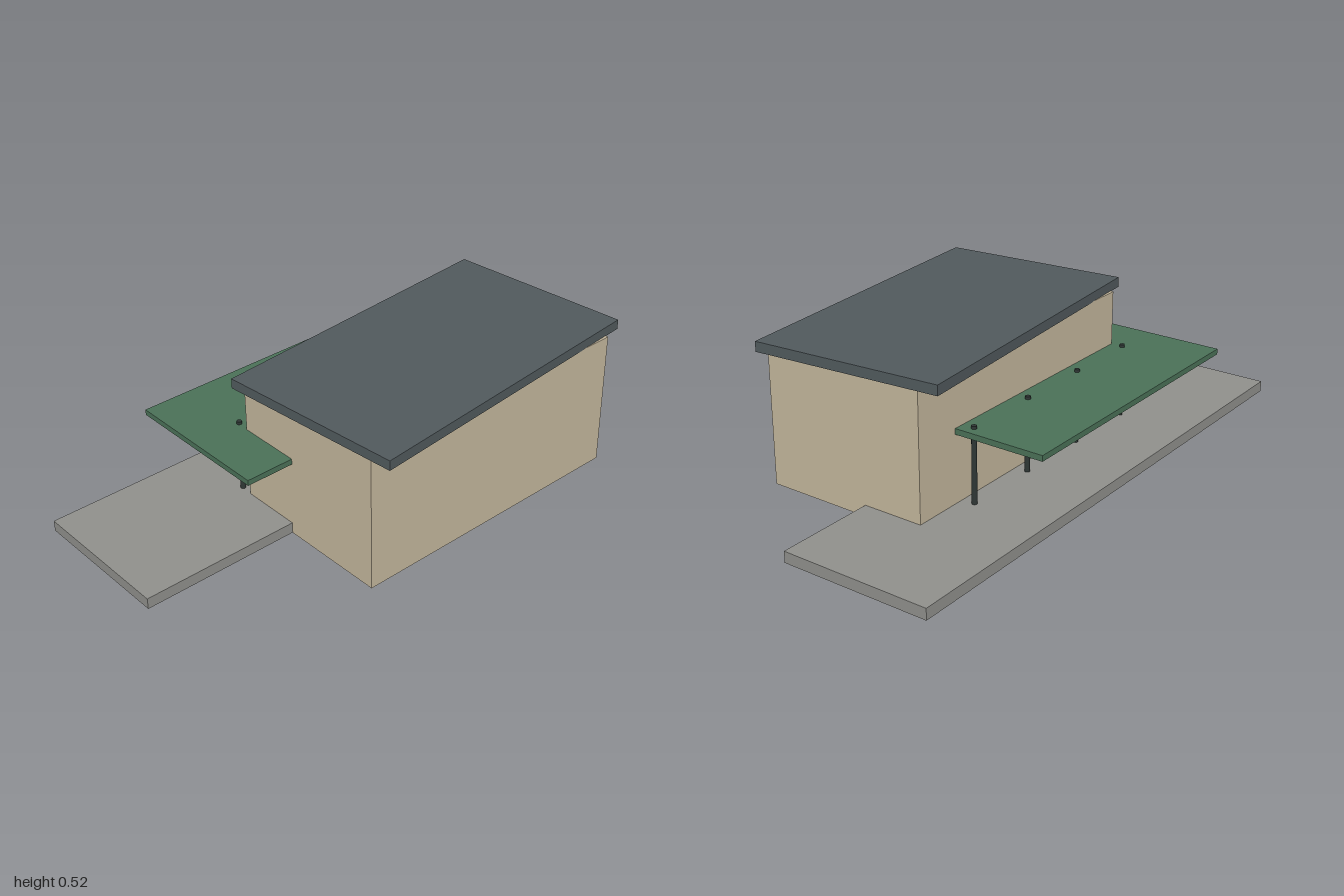
import * as THREE from 'three';

export function createModel() {
  const model = new THREE.Group();

  const add = (name, geometry, color, x, y, z) => {
    const material = new THREE.MeshStandardMaterial({ color });
    const mesh = new THREE.Mesh(geometry, material);
    mesh.name = name;
    mesh.position.set(x, y, z);
    model.add(mesh);
    return mesh;
  };

  // Box given by its extents along each axis
  const slab = (name, color, [x0, x1], [y0, y1], [z0, z1]) =>
    add(name, new THREE.BoxGeometry(x1 - x0, y1 - y0, z1 - z0), color,
      (x0 + x1) / 2, (y0 + y1) / 2, (z0 + z1) / 2);

  // Platform sits a hair above the building's underside so the two do not flicker
  slab('platform', 0x8f8f8b, [-0.498, 0.036], [0.001, 0.04], [-1, 1]);
  slab('building', 0xc2b59b, [-0.185, 0.422], [0, 0.49], [-0.64, 0.43]);
  slab('canopy', 0x4a7057, [-0.509, 0.046], [0.277, 0.297], [-0.465, 0.605]);

  // Roof, turned slightly against the walls
  const roof = add('roof', new THREE.BoxGeometry(0.676, 0.035, 1.144), 0x50595c, 0.1185, 0.5055, -0.109);
  roof.rotation.y = THREE.MathUtils.degToRad(5);

  // Row of canopy posts, poking through the canopy
  const postGeometry = new THREE.CylinderGeometry(0.009, 0.009, 0.307, 12);
  for (let i = 0; i < 4; i++) {
    add('canopyPost', postGeometry, 0x2e3634, -0.231, 0.1535, -0.43 + i * 0.285);
  }

  return model;
}
